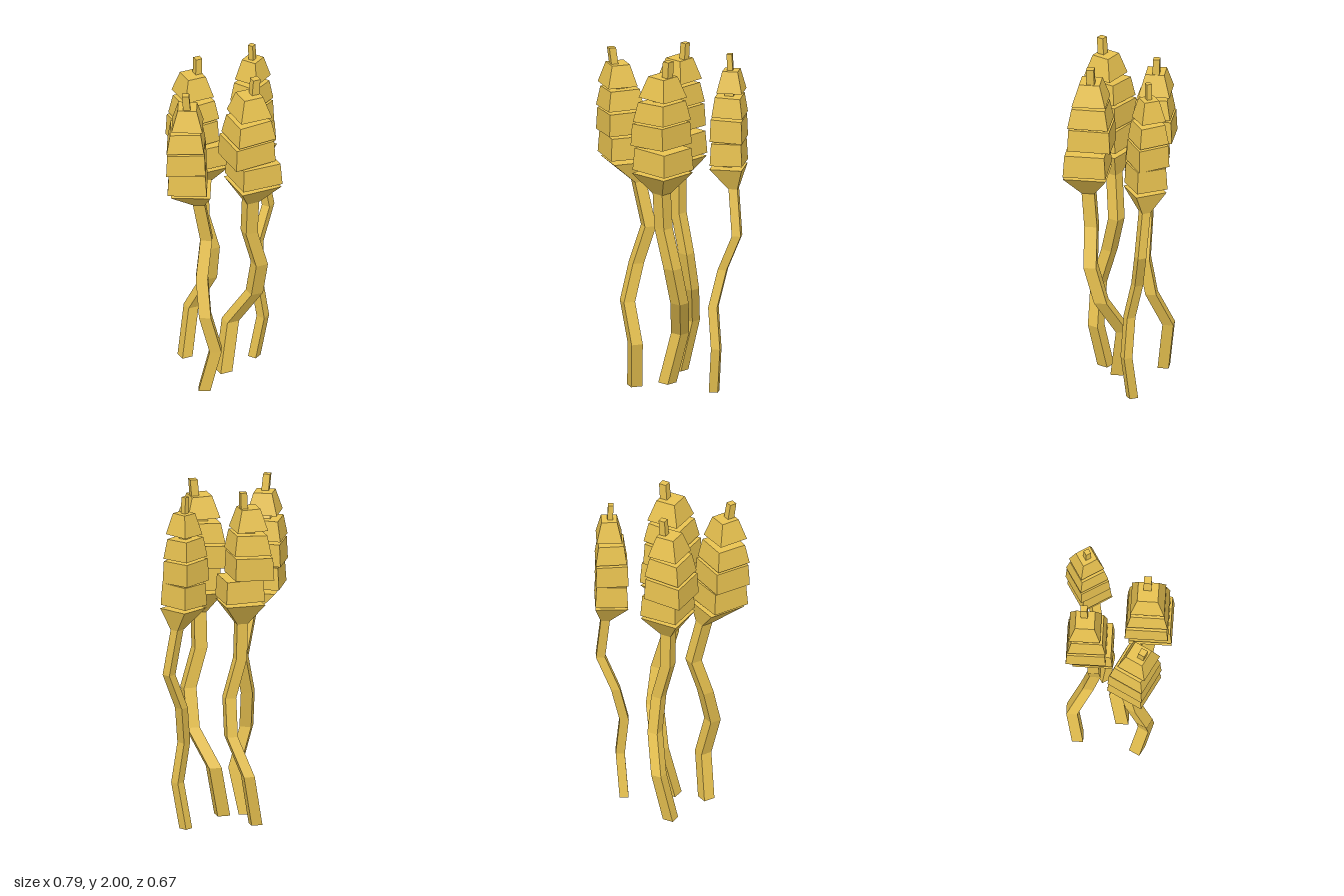
import * as THREE from 'three';

const straw = new THREE.MeshStandardMaterial({ color: 0xe8c250, flatShading: true });

// Square loft: rings are [x, y, z, halfWidth]; angle turns the square, tilt slopes it along x
function squareLoft(name, rings, angle, tilt = 0) {
  const ring = ([x, y, z, h]) => [0, 1, 2, 3].map((i) => {
    const a = angle + Math.PI / 4 + (i * Math.PI) / 2;
    const dx = Math.cos(a) * h * Math.SQRT2;
    const dz = -Math.sin(a) * h * Math.SQRT2;
    return [x + dx, y + tilt * dx, z + dz];
  });
  const loops = rings.map(ring);
  const pos = [];
  const quad = (a, b, c, d) => pos.push(...a, ...b, ...c, ...a, ...c, ...d);
  for (let k = 0; k < loops.length - 1; k++) {
    const lo = loops[k], hi = loops[k + 1];
    for (let i = 0; i < 4; i++) {
      const j = (i + 1) % 4;
      quad(lo[i], lo[j], hi[j], hi[i]);
    }
  }
  const first = loops[0], last = loops[loops.length - 1];
  quad(first[3], first[2], first[1], first[0]);
  quad(last[0], last[1], last[2], last[3]);
  const geo = new THREE.BufferGeometry();
  geo.setAttribute('position', new THREE.Float32BufferAttribute(pos, 3));
  geo.computeVertexNormals();
  const mesh = new THREE.Mesh(geo, straw);
  mesh.name = name;
  return mesh;
}

// Grain layers: bottom y, top y, bottom and top width factors
const layers = [
  [1.355, 1.485, 1, 0.93],
  [1.495, 1.625, 1, 0.95],
  [1.64, 1.755, 0.95, 0.78],
  [1.78, 1.905, 0.79, 0.48],
];

// stem: [x, y, z] points; head: [x, z] centres of the cup and the four layers; tip: top of the stem
const stalks = [
  {
    name: 'frontLeftStalk', angle: 9, width: 0.037, half: 0.124, tilt: 0.05,
    stem: [[0.005, 0.03, 0.055], [0.06, 0.33, 0.005], [0.175, 0.55, 0.1], [0.187, 0.77, 0.16], [0.122, 1.0, 0.175], [0.125, 1.21, 0.19]],
    head: [[0.137, 0.195], [0.143, 0.195], [0.106, 0.18], [0.117, 0.183], [0.122, 0.18]],
    tip: [[0.15, 0.17], [0.16, 0.17]],
  },
  {
    name: 'backRightStalk', angle: 9.5, width: 0.032, half: 0.115, tilt: 0.05,
    stem: [[-0.16, 0.03, -0.17], [-0.11, 0.33, -0.215], [-0.022, 0.55, -0.14], [-0.017, 0.77, -0.1], [-0.08, 1.0, -0.095], [-0.085, 1.21, -0.097]],
    head: [[-0.082, -0.095], [-0.08, -0.097], [-0.13, -0.125], [-0.122, -0.122], [-0.124, -0.135]],
    tip: [[-0.095, -0.145], [-0.09, -0.15]],
  },
  {
    name: 'backLeftStalk', angle: 41, width: 0.026, half: 0.094, tilt: -0.05,
    stem: [[0.235, 0, -0.105], [0.28, 0.27, -0.085], [0.245, 0.51, -0.092], [0.265, 0.73, -0.145], [0.342, 0.94, -0.188], [0.297, 1.21, -0.2]],
    head: [[0.26, -0.19], [0.257, -0.195], [0.247, -0.203], [0.25, -0.207], [0.258, -0.213]],
    tip: [[0.255, -0.21], [0.25, -0.207]],
  },
  {
    name: 'frontRightStalk', angle: -18, width: 0.034, half: 0.113, tilt: 0.04,
    stem: [[-0.145, 0, 0.175], [-0.09, 0.27, 0.215], [-0.155, 0.51, 0.22], [-0.155, 0.73, 0.155], [-0.112, 0.95, 0.1], [-0.165, 1.21, 0.13]],
    head: [[-0.225, 0.175], [-0.248, 0.18], [-0.257, 0.185], [-0.262, 0.19], [-0.258, 0.21]],
    tip: [[-0.265, 0.23], [-0.278, 0.24]],
  },
];

function makeStalk({ name, angle, width, half, tilt, stem, head, tip }) {
  const g = new THREE.Group();
  g.name = name;
  const a = THREE.MathUtils.degToRad(angle);

  // bent stem
  g.add(squareLoft('stem', stem.map(([x, y, z]) => [x, y, z, width]), a));

  // flared cup under the grain
  const [sx, sy, sz] = stem[stem.length - 1];
  g.add(squareLoft('cup', [[sx, sy, sz, width], [head[0][0], 1.335, head[0][1], half]], a));

  // core joining the layers and ending in the tip
  const core = [[head[0][0], 1.32, head[0][1], width]];
  for (let i = 1; i < 4; i++) core.push([head[i][0], layers[i - 1][1], head[i][1], width]);
  core.push([tip[0][0], 1.88, tip[0][1], width * 0.62], [tip[1][0], 2, tip[1][1], width * 0.6]);
  g.add(squareLoft('core', core, a));

  // stacked grain layers
  layers.forEach(([y0, y1, f0, f1], i) => {
    const [x, z] = head[i + 1];
    const slope = i === 1 || i === 2 ? tilt : -tilt * 0.4;
    g.add(squareLoft('grainLayer' + (i + 1), [[x, y0, z, half * f0], [x, y1, z, half * f1]], a, slope));
  });
  return g;
}

export function createModel() {
  const model = new THREE.Group();
  model.name = 'grainStalks';
  stalks.forEach((s) => model.add(makeStalk(s)));
  return model;
}
